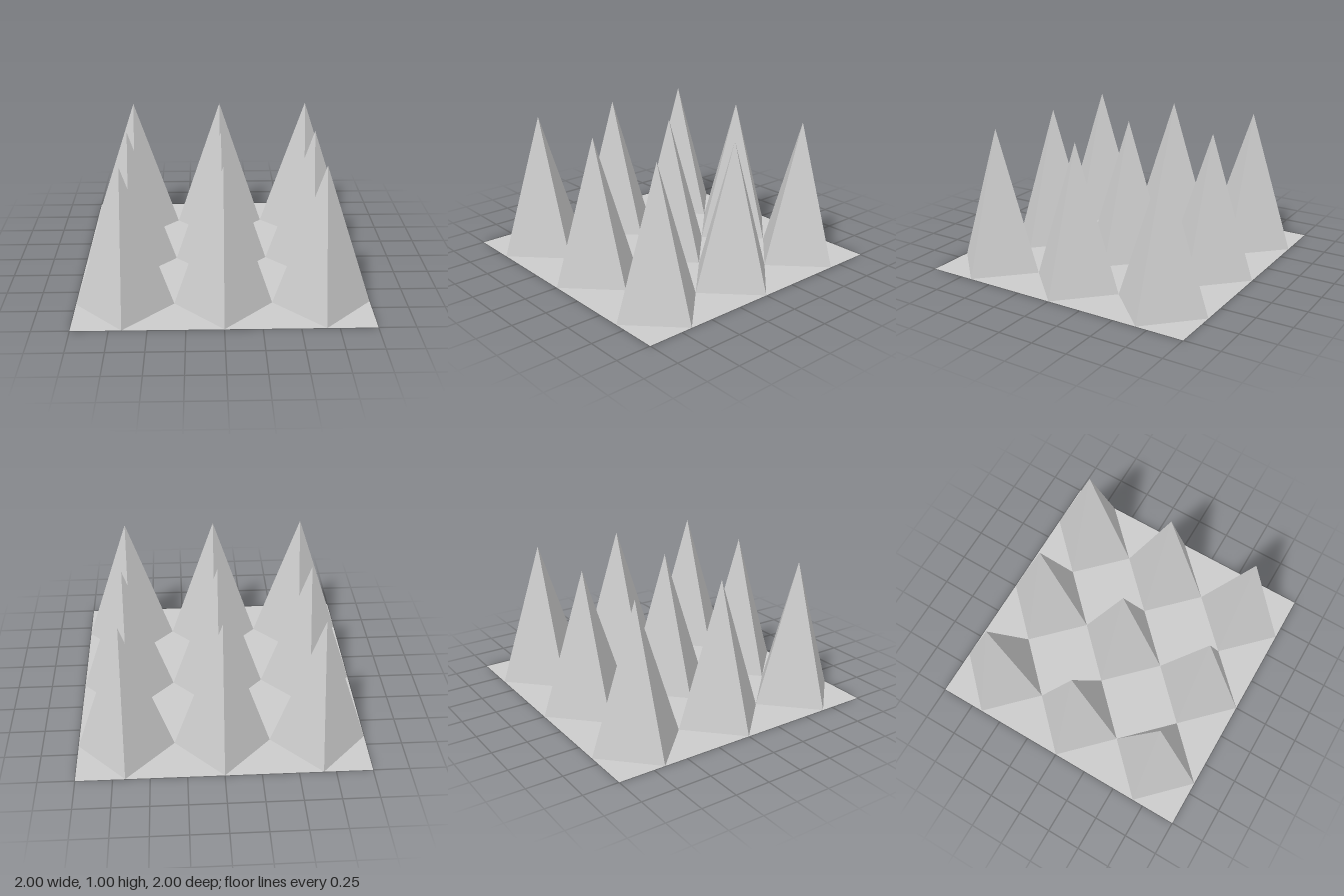
import * as THREE from 'three';
import { mergeGeometries } from 'three/addons/utils/BufferGeometryUtils.js';

const HALF = 1 / 3; // half width of one grid cell
const HEIGHT = 1;

export function createModel() {
  const group = new THREE.Group();
  group.name = 'spikeSheet';
  const material = new THREE.MeshStandardMaterial({
    color: 0xcccccc, flatShading: true, side: THREE.DoubleSide,
  });

  // Hollow four-sided spike, open at the bottom, its corners on the cell's edge midpoints
  const spikeGeometry = new THREE.ConeGeometry(HALF, HEIGHT, 4, 1, true);
  spikeGeometry.translate(0, HEIGHT / 2, 0);

  // Flat triangle filling one corner of a cell
  const corner = new THREE.Shape([
    new THREE.Vector2(HALF, 0),
    new THREE.Vector2(HALF, HALF),
    new THREE.Vector2(0, HALF),
  ]);
  const cornerGeometry = new THREE.ShapeGeometry(corner).rotateX(-Math.PI / 2);

  const sheetPieces = [];
  for (let row = -1; row <= 1; row++) {
    for (let column = -1; column <= 1; column++) {
      const x = column * 2 * HALF;
      const z = row * 2 * HALF;

      const spike = new THREE.Mesh(spikeGeometry, material);
      spike.name = 'spike';
      spike.position.set(x, 0, z);
      group.add(spike);

      for (let k = 0; k < 4; k++) {
        sheetPieces.push(cornerGeometry.clone().rotateY(k * Math.PI / 2).translate(x, 0, z));
      }
    }
  }

  // Thin base sheet with a diamond opening under every spike
  const sheet = new THREE.Mesh(mergeGeometries(sheetPieces), material);
  sheet.name = 'baseSheet';
  group.add(sheet);

  return group;
}
